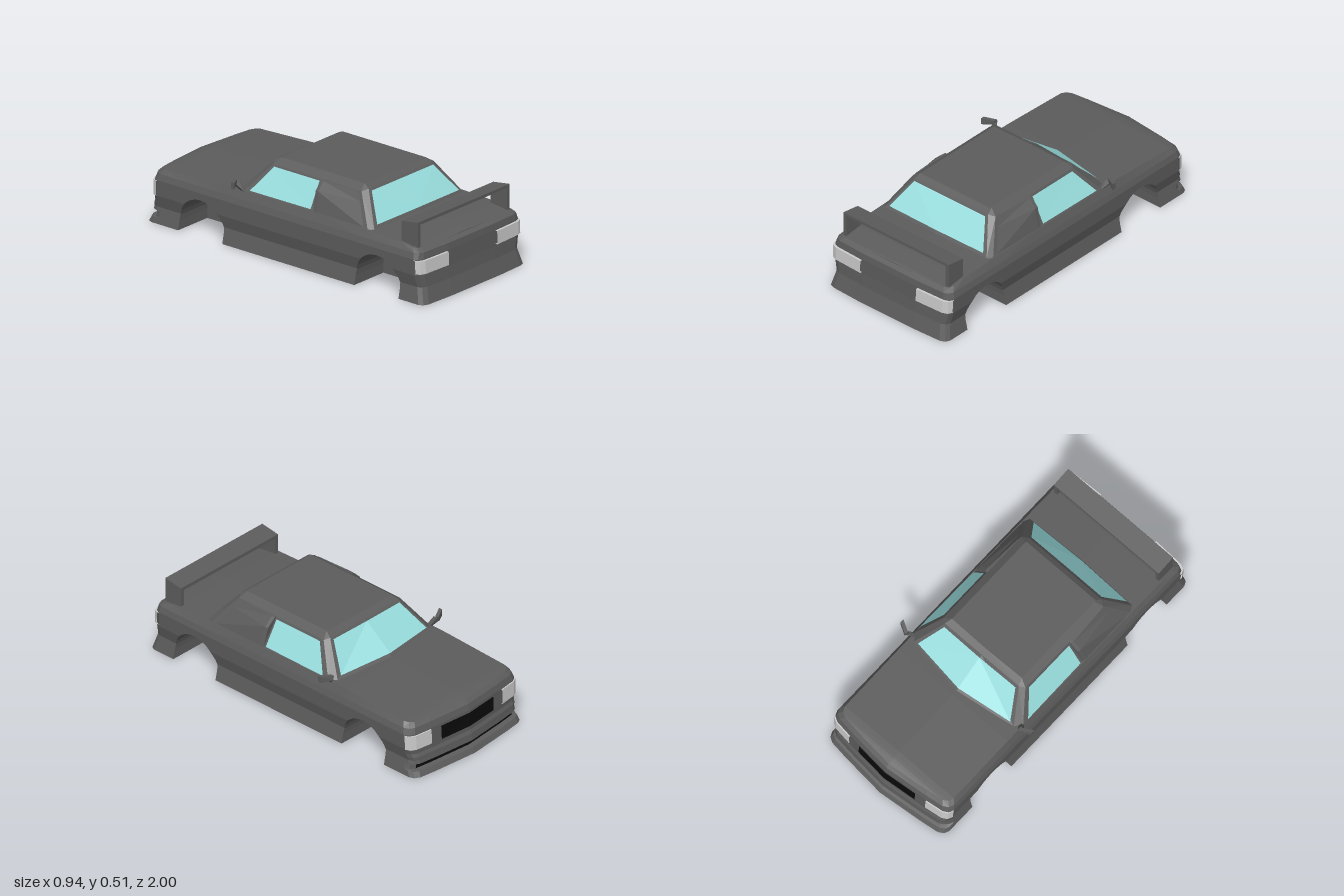
import * as THREE from 'three';
import { ConvexGeometry } from 'three/addons/geometries/ConvexGeometry.js';

const paint = new THREE.MeshStandardMaterial({ color: 0x5c5c5c, flatShading: true });
const glass = new THREE.MeshStandardMaterial({ color: 0x99dddd, flatShading: true });
const lamp = new THREE.MeshStandardMaterial({ color: 0xcccccc, flatShading: true, side: THREE.DoubleSide });
const black = new THREE.MeshStandardMaterial({ color: 0x0a0a0a, flatShading: true });

// Piecewise linear lookup in a list of [key, value]
function interp(table, t) {
  if (t <= table[0][0]) return table[0][1];
  for (let i = 1; i < table.length; i++) {
    const [k0, v0] = table[i - 1], [k1, v1] = table[i];
    if (t <= k1) return v0 + (v1 - v0) * (t - k0) / (k1 - k0);
  }
  return table[table.length - 1][1];
}
const lerp = (a, b, t) => a.map((v, i) => v + (b[i] - v) * t);

// Collects polygons of the +x half and mirrors each one to -x
class HalfSurface {
  constructor() { this.pos = []; }
  tri(a, b, c) {
    const [p, q, r] = [a, b, c].map(v => new THREE.Vector3(...v));
    if (q.sub(p).cross(r.sub(p)).length() < 1e-9) return;
    this.pos.push(...a, ...b, ...c);
  }
  face(...pts) {
    const flip = p => [-p[0], p[1], p[2]];
    for (let i = 1; i < pts.length - 1; i++) {
      this.tri(pts[0], pts[i], pts[i + 1]);
      this.tri(flip(pts[0]), flip(pts[i + 1]), flip(pts[i]));
    }
  }
  // Rows run upwards, columns run from the tail round the side to the nose
  loft(rows) {
    for (let j = 0; j + 1 < rows.length; j++)
      for (let i = 0; i + 1 < rows[j].length; i++)
        this.face(rows[j][i], rows[j][i + 1], rows[j + 1][i + 1], rows[j + 1][i]);
    return this;
  }
  mesh(name, material) {
    const g = new THREE.BufferGeometry();
    g.setAttribute('position', new THREE.Float32BufferAttribute(this.pos, 3));
    g.computeVertexNormals();
    const m = new THREE.Mesh(g, material);
    m.name = name;
    return m;
  }
}

// Body rules: half width and end positions by height, deck height by z (row 0.3 is the deck edge)
const DECK = 0.3;
const widthAt = [[0, .42], [.09, .4], [.16, .418], [.25, .42], [.285, .41], [DECK, .39]];
const tailAt = [[0, 1], [.09, .975], [.16, .968], [.25, .965], [.285, .96], [DECK, .935]];
const noseAt = [[0, 1], [.03, .985], [.035, .955], [.065, .955], [.07, .98], [.11, .975],
  [.13, .965], [.25, .96], [.285, .95], [DECK, .93]];
const deckAt = [[-.93, .302], [-.85, .312], [-.38, .332], [.3, .33], [.6, .322], [.82, .315], [.935, .3]];
const bodyRows = [0, .03, .035, .065, .07, .09, .11, .13, .16, .25, .285, DECK];
const WELL_X = 0.18, ARCH_R = 0.155, ARCH_Y = 0.055;

const tail = (fx, inset) => ({ fx, inset, end: 1, low: 0 });
const nose = (fx, inset) => ({ fx, inset, end: -1, low: 0 });
const tailCols = [tail(0, 0), tail(.47, 0), tail(.9, .008), tail(.97, .02), tail(1, .045)];
const noseCols = [nose(1, .045), nose(.97, .018), nose(.9, .004), nose(.65, 0), nose(.48, 0), nose(0, 0)];

function bodyPoint(col, row) {
  const r = Math.max(row, col.low);
  let z = col.z;
  if (col.end === 1) z = interp(tailAt, r) - col.inset;
  if (col.end === -1) z = -(interp(noseAt, r) - col.inset - .04 * col.fx);
  return [col.fx * interp(widthAt, r), r === DECK ? interp(deckAt, z) : r, z];
}

function archCols(zc) {
  const cols = [{ fx: 1, z: zc + ARCH_R, low: 0 }, { fx: 1, z: zc + ARCH_R, low: 0, well: true }];
  for (let i = 0; i <= 16; i++) {
    const a = Math.PI * i / 16;
    cols.push({ fx: 1, z: zc + ARCH_R * Math.cos(a), low: ARCH_Y + ARCH_R * Math.sin(a), well: true });
  }
  cols.push({ fx: 1, z: zc - ARCH_R, low: 0, well: true }, { fx: 1, z: zc - ARCH_R, low: 0 });
  return cols;
}

function makeBody() {
  const flat = z => ({ fx: 1, z, low: 0 });
  const cols = [...tailCols, ...archCols(.66), flat(.3), flat(-.3), ...archCols(-.575), ...noseCols];
  const rows = bodyRows.map(r => cols.map(c => bodyPoint(c, r)));
  const deck = rows[rows.length - 1], sill = rows[0];
  const crown = deck.map(([, y, z], i) => [0, y + .008 * cols[i].fx, z]);
  // Wheel wells and floor
  const inner = sill.map((p, i) => cols[i].well ? [WELL_X, p[1], p[2]] : p);
  const floorEdge = inner.map(([x, , z]) => [x, 0, z]);
  const floorMid = sill.map(p => [0, 0, p[2]]);
  return new HalfSurface().loft([floorMid, floorEdge, inner, ...rows, crown]).mesh('body', paint);
}

// Strip lying just off the body skin
function bodyStrip(cols, y0, y1, off, name, material) {
  const rows = [y0, y1].map(y => cols.map(c => {
    const [px, py, pz] = bodyPoint(c, y);
    return [px * (1 + off / 2), py, pz * (1 + off)];
  }));
  // Rim back to the skin
  const rim = [y0, y1].map(y => cols.map(c => bodyPoint(c, y)));
  return new HalfSurface().loft([rim[0], ...rows, rim[1]]).mesh(name, material);
}

// Cabin rings, from rear centre to front centre
const base = [[0, .33, .61], [.365, .325, .6], [.385, .32, .57], [.395, .32, -.3], [.36, .33, -.335], [0, .343, -.39]];
const shoulder = [[0, .495, .47], [.26, .495, .47], [.295, .485, .45], [.295, .485, -.17], [.265, .495, -.19], [0, .495, -.19]];
const roof = [[0, .515, .44], [.25, .515, .44], [.25, .515, .43], [.25, .515, -.14], [.25, .515, -.15], [0, .515, -.155]];
const cabinPoint = (i, u, v) => lerp(lerp(base[i], base[i + 1], u), lerp(shoulder[i], shoulder[i + 1], u), v);

function makeCabin() {
  const ridge = roof.map(p => [0, .515, p[2]]);
  return new HalfSurface().loft([base, shoulder, roof, ridge]).mesh('cabin', paint);
}

function makeWindow(i, u0, u1, v0, v1, offset, name) {
  const at = (u, v) => cabinPoint(i, u, v).map((c, k) => c + offset[k]);
  const s = new HalfSurface();
  s.face(at(u0, v0), at(u1, v0), at(u1, v1), at(u0, v1));
  return s.mesh(name, glass);
}

// Flared panel behind the side window, flush at its rear edge
function makeQuarterPanels() {
  const bulge = [[.05, 0], [.72, .034], [1, .012]];
  const rows = bulge.map(([v, out]) => [[.03, .003], [.41, out + .003], [.44, out], [.44, -.005]].map(([u, dx]) => {
    const p = cabinPoint(2, u, v);
    return [p[0] + dx, p[1], p[2]];
  }));
  const seam = rows[2].map(p => [p[0] - .035, p[1] + .004, p[2]]);
  return new HalfSurface().loft([...rows, seam]).mesh('quarterPanels', paint);
}

// Side outline in (z, y) extruded along x
function makePlate(outline, width, x, name) {
  const shape = new THREE.Shape(outline.map(p => new THREE.Vector2(...p)));
  const g = new THREE.ExtrudeGeometry(shape, { depth: width, bevelEnabled: false });
  g.translate(0, 0, -width / 2).rotateY(-Math.PI / 2).translate(x, 0, 0);
  const m = new THREE.Mesh(g, paint);
  m.name = name;
  return m;
}

function makeWing() {
  const wing = new THREE.Group();
  wing.name = 'rearWing';
  wing.add(makePlate([[.8, .41], [.915, .43], [.915, .447], [.8, .43]], .75, 0, 'wingBlade'));
  for (const s of [-1, 1])
    wing.add(makePlate([[.8, .305], [.915, .295], [.915, .447], [.8, .43]], .022, s * .365, 'wingUpright'));
  return wing;
}

function makeMirror(s) {
  const hull = (pts, name) => {
    const m = new THREE.Mesh(new ConvexGeometry(pts.map(([x, y, z]) => new THREE.Vector3(s * x, y, z))), paint);
    m.name = name;
    return m;
  };
  const thick = (pts, d) => pts.flatMap(([x, y, z]) => [[x, y, z], [x, y, z + d]]);
  const mirror = new THREE.Group();
  mirror.name = 'doorMirror';
  mirror.add(hull(thick([[.47, .357, -.315], [.47, .395, -.315], [.41, .362, -.35], [.405, .388, -.35]], .022), 'mirrorHead'));
  mirror.add(hull(thick([[.375, .33, -.315], [.392, .325, -.315], [.4, .385, -.345], [.418, .362, -.345]], .025), 'mirrorStalk'));
  return mirror;
}

export function createModel() {
  const car = new THREE.Group();
  car.name = 'car';
  car.add(makeBody(), makeCabin(), makeQuarterPanels(), makeWing(), makeMirror(1), makeMirror(-1));
  // Windows
  car.add(makeWindow(0, 0, .94, .08, .92, [0, .004, .004], 'rearWindow'));
  car.add(makeWindow(2, .46, .96, .1, .94, [.005, .002, 0], 'sideWindows'));
  car.add(makeWindow(4, .06, 1, .08, .93, [0, .005, -.005], 'windscreen'));
  // Lamps, grille and lower intake
  car.add(bodyStrip(tailCols.slice(1), .17, .245, .014, 'tailLamps', lamp));
  car.add(bodyStrip(noseCols.slice(0, 4), .16, .245, .008, 'headLamps', lamp));
  car.add(bodyStrip(noseCols.slice(4), .155, .235, .003, 'grille', black));
  car.add(bodyStrip(noseCols.slice(2), .036, .064, .003, 'lowerIntake', black));
  return car;
}
